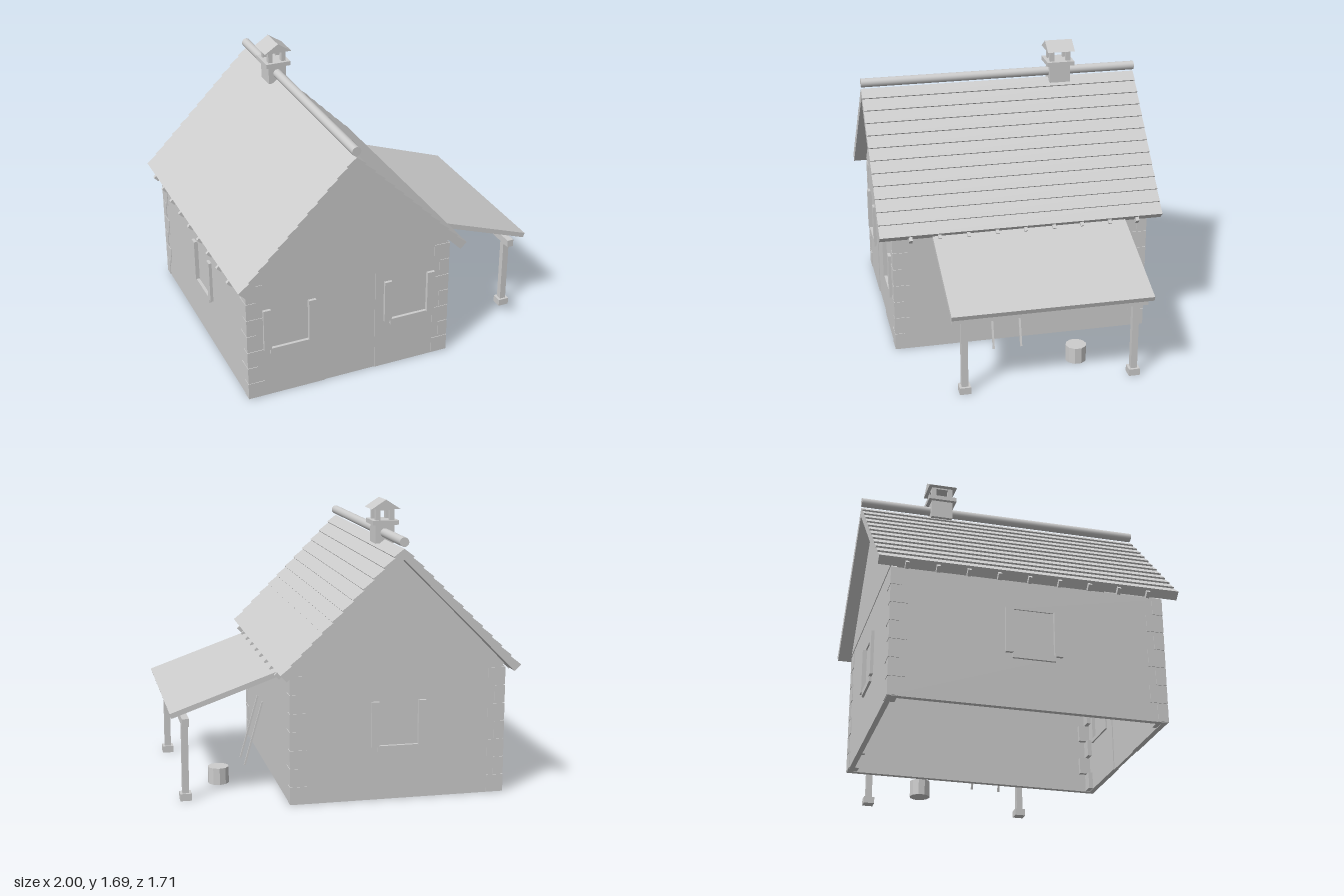
import * as THREE from 'three';

const CX = -0.29; // ridge line of the house
const HX = 0.63, HZ = 0.775; // half size of the walls

export function createModel() {
  const root = new THREE.Group();
  root.name = 'cottage';
  const grey = new THREE.MeshStandardMaterial({ color: 0xcccccc, flatShading: true });
  grey.name = 'plain grey';
  const smoothGrey = grey.clone();
  smoothGrey.flatShading = false;

  const add = (name, geo, parent = root, mat = grey) => {
    const m = new THREE.Mesh(geo, mat);
    m.name = name;
    parent.add(m);
    return m;
  };
  // box from minimum and maximum corners
  const box = (name, x0, x1, y0, y1, z0, z1, parent = root) => {
    const m = add(name, new THREE.BoxGeometry(x1 - x0, y1 - y0, z1 - z0), parent);
    m.position.set((x0 + x1) / 2, (y0 + y1) / 2, (z0 + z1) / 2);
    return m;
  };
  const outline = (pts) => new THREE.Shape(pts.map(([x, y]) => new THREE.Vector2(x, y)));
  const extrude = (shape, z0, z1) =>
    new THREE.ExtrudeGeometry(shape, { depth: z1 - z0, bevelEnabled: false }).translate(0, 0, z0);

  const house = new THREE.Group();
  house.name = 'house';
  house.position.x = CX;
  root.add(house);

  // window: pane, side boards, sill and inner frame on a wall's outer plane d
  function addWindow(x, d, wall) {
    const g = new THREE.Group();
    g.name = 'window';
    g.position.set(x, 0, d);
    wall.add(g);
    box('pane', -0.12, 0.12, 0.31, 0.58, -0.02, -0.008, g);
    for (const s of [-1, 1]) {
      box('sideBoard', s * 0.138 - 0.023, s * 0.138 + 0.023, 0.315, 0.58, -0.005, 0.018, g);
      box('innerJamb', s * 0.12 - 0.012, s * 0.12 + 0.012, 0.3, 0.59, -0.04, -0.02, g);
    }
    box('sill', -0.122, 0.122, 0.285, 0.32, -0.005, 0.014, g);
    box('innerSill', -0.13, 0.13, 0.29, 0.312, -0.04, -0.02, g);
    box('innerLintel', -0.13, 0.13, 0.578, 0.6, -0.04, -0.02, g);
  }

  // wall: facing +z at distance d, turned into place, with openings cut out
  function addWall(name, half, d, angle, gable, windows, door) {
    const wall = new THREE.Group();
    wall.name = name;
    wall.rotation.y = angle;
    house.add(wall);
    const cut = (x0, x1, y0, y1) => new THREE.Path([
      new THREE.Vector2(x0, y0), new THREE.Vector2(x0, y1),
      new THREE.Vector2(x1, y1), new THREE.Vector2(x1, y0)]);
    const pts = [[-half, 0]];
    if (door) pts.push([-0.16, 0], [-0.16, 0.65], [0.16, 0.65], [0.16, 0]);
    pts.push([half, 0], [half, 0.75]);
    if (gable) pts.push([0, 1.41]);
    pts.push([-half, 0.75]);
    const shape = outline(pts);
    for (const x of windows) shape.holes.push(cut(x - 0.12, x + 0.12, 0.31, 0.58));
    add('panel', extrude(shape, d - 0.03, d), wall);
    if (gable) add('gable', extrude(outline([[-0.63, 0.765], [0.63, 0.765], [0, 1.41]]), d - 0.02, d + 0.004), wall);
    if (door) box('door', -0.16, 0.16, 0, 0.65, d - 0.024, d - 0.005, wall);
    for (const x of windows) addWindow(x, d, wall);
  }
  addWall('frontWall', HX, HZ, 0, true, [-0.375, 0.375], true);
  addWall('backWall', HX, HZ, Math.PI, true, [0], false);
  addWall('rightWall', HZ, HX, -Math.PI / 2, false, [0.02], false);
  addWall('leftWall', HZ, HX, Math.PI / 2, false, [], false);

  // interlocking corner stones
  const rows = 7, rowH = 0.75 / rows;
  for (const sx of [-1, 1]) for (const sz of [-1, 1]) for (let i = 0; i < rows; i++) {
    const lx = i % 2 ? 0.06 : 0.1, lz = i % 2 ? 0.1 : 0.06;
    const stone = add('cornerStone', new THREE.BoxGeometry(lx, rowH - 0.006, lz), house);
    stone.position.set(sx * (HX + 0.004 - lx / 2), (i + 0.5) * rowH, sz * (HZ + 0.004 - lz / 2));
  }

  // roof: both slopes in one section, with a small step for each row of boards
  const ROWS = 12, LEN = 0.99, RIDGE = 1.475, C = Math.SQRT1_2;
  const onSlope = (side, along, depth) => [side * (along - depth) * C, RIDGE - (along + depth) * C];
  const slope = (side) => {
    const p = [];
    for (let i = 0; i < ROWS; i++) {
      p.push(onSlope(side, Math.max(0.012, i * LEN / ROWS), 0.01));
      p.push(onSlope(side, (i + 1) * LEN / ROWS, 0));
    }
    p.push(onSlope(side, LEN, 0.053));
    return p;
  };
  add('roof', extrude(outline([...slope(1), [0, 1.4], ...slope(-1).reverse()]), -0.857, 0.857), house);

  // rafter tails below the eaves
  for (const side of [-1, 1]) for (let i = 0; i < 9; i++) {
    const z = 0.675 - i * 0.172;
    const tail = outline([onSlope(side, 0.88, 0.015), onSlope(side, 1.015, 0.015),
      onSlope(side, 1.015, 0.053), onSlope(side, 0.88, 0.053)]);
    add('rafterTail', extrude(tail, z - 0.01, z + 0.01), house);
  }

  // round ridge cap
  const cap = add('ridgeCap', new THREE.CylinderGeometry(0.027, 0.027, 1.714, 20), house, smoothGrey);
  cap.rotation.x = Math.PI / 2;
  cap.position.y = 1.497;

  // chimney with an open, pitched hood
  const chimney = new THREE.Group();
  chimney.name = 'chimney';
  chimney.position.set(0, 0, -0.372);
  house.add(chimney);
  box('stack', -0.056, 0.056, 1.435, 1.547, -0.064, 0.064, chimney);
  box('collar', -0.078, 0.078, 1.545, 1.571, -0.085, 0.085, chimney);
  for (const sx of [-1, 1]) for (const sz of [-1, 1])
    box('hoodPost', sx * 0.042 - 0.014, sx * 0.042 + 0.014, 1.57, 1.635,
      sz * 0.05 - 0.014, sz * 0.05 + 0.014, chimney);
  box('hoodPlate', -0.056, 0.056, 1.628, 1.64, -0.064, 0.064, chimney);
  add('hood', extrude(outline([[-0.086, 1.637], [0.086, 1.637], [0, 1.692]]), -0.085, 0.085), chimney);

  // lean-to roof on posts
  const shed = new THREE.Group();
  shed.name = 'leanTo';
  root.add(shed);
  add('leanToRoof', extrude(outline([[0.335, 0.735], [0.99, 0.505], [1, 0.533], [0.345, 0.763]]), -0.63, 0.543), shed);
  box('beam', 0.89, 0.93, 0.45, 0.495, -0.615, 0.53, shed);
  for (const z of [0.46, -0.543]) {
    box('post', 0.891, 0.929, 0.03, 0.455, z - 0.019, z + 0.019, shed);
    box('postFoot', 0.877, 0.943, 0, 0.042, z - 0.033, z + 0.033, shed);
  }

  // poles leaning on the wall
  for (const z of [0.2, 0.03]) {
    const pole = add('leaningPole', new THREE.BoxGeometry(0.011, 0.415, 0.012));
    pole.position.set(0.418, 0.207, z);
    pole.rotation.z = 0.28;
  }

  // chopping block
  const block = add('choppingBlock', new THREE.CylinderGeometry(0.063, 0.063, 0.1, 10));
  block.position.set(0.68, 0.05, -0.257);

  return root;
}
